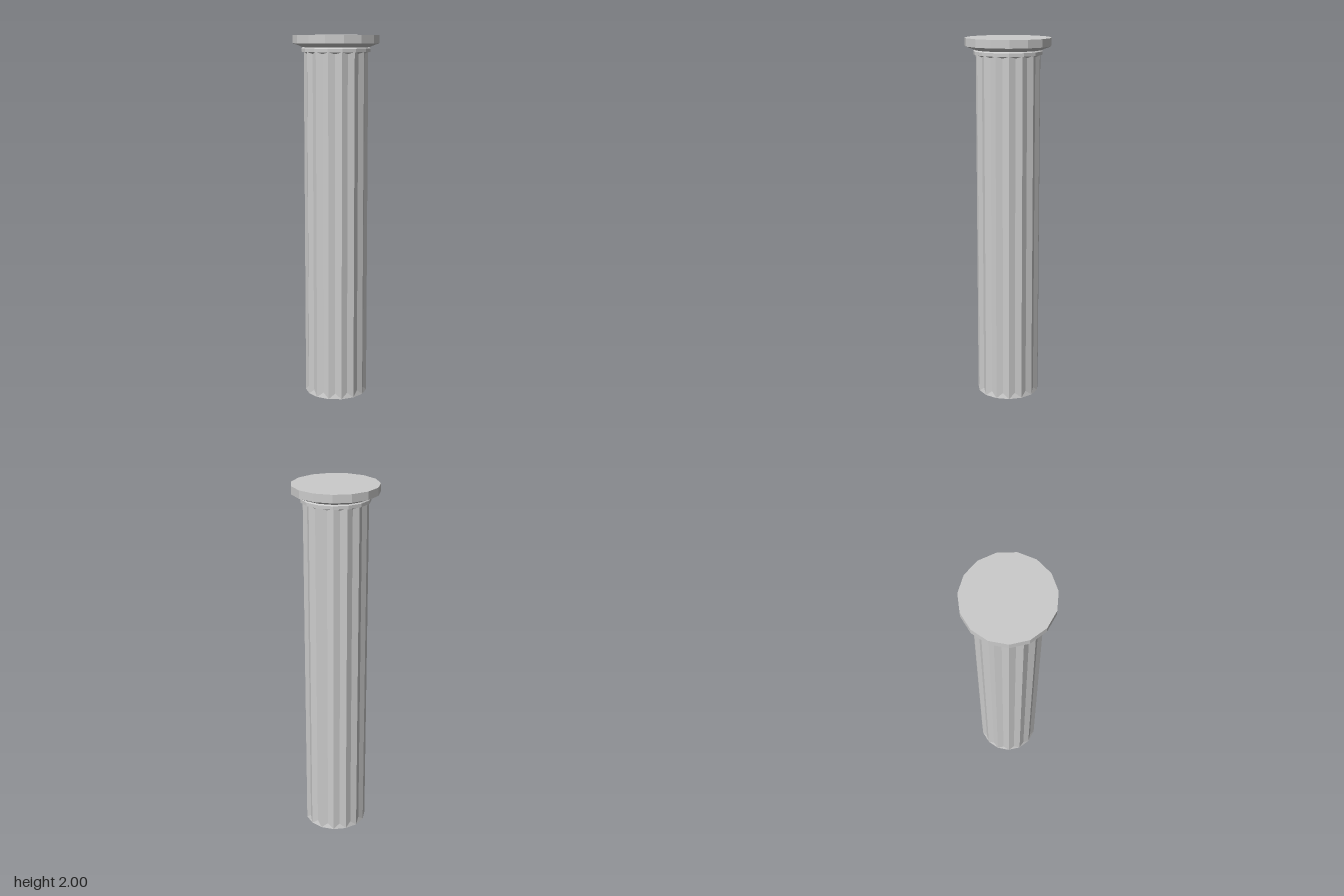
import * as THREE from 'three';

const SIDES = 15;
const material = new THREE.MeshStandardMaterial({ color: 0xcccccc, flatShading: true });

// Fluted shaft: one V-shaped groove per side, tapering out at foot and top
function shaftGeometry(radius, valleyRadius, top) {
  const positions = [];
  const step = (Math.PI * 2) / SIDES;
  const point = (angle, r, y) => [r * Math.cos(angle), y, -r * Math.sin(angle)];
  const tri = (...corners) => corners.forEach((c) => positions.push(...c));
  for (let k = 0; k < SIDES; k++) {
    const a = k * step, b = a + step, m = a + step / 2;
    const a0 = point(a, radius, 0), a1 = point(a, radius, top);
    const b0 = point(b, radius, 0), b1 = point(b, radius, top);
    const m0 = point(m, valleyRadius, 0.03), m1 = point(m, valleyRadius, top - 0.01);
    tri(a0, b0, m0); // foot of the flute
    tri(a0, m0, m1); // left wall
    tri(a0, m1, a1);
    tri(m0, b0, b1); // right wall
    tri(m0, b1, m1);
    tri(a1, m1, b1); // head of the flute
    tri([0, 0, 0], b0, a0); // underside
  }
  const geometry = new THREE.BufferGeometry();
  geometry.setAttribute('position', new THREE.Float32BufferAttribute(positions, 3));
  geometry.computeVertexNormals();
  return geometry;
}

// Faceted ring turned from a profile, with a corner on +x
function turned(profile) {
  const points = profile.map(([r, y]) => new THREE.Vector2(r, y));
  return new THREE.LatheGeometry(points, SIDES, Math.PI / 2);
}

export function createModel() {
  const column = new THREE.Group();
  column.name = 'column';
  const add = (name, geometry) => {
    const mesh = new THREE.Mesh(geometry, material);
    mesh.name = name;
    mesh.position.x = -0.0025;
    column.add(mesh);
  };

  add('flutedShaft', shaftGeometry(0.1735, 0.162, 1.912));

  // Neck ring, flared moulding and top slab
  add('neckRing', turned([[0, 1.912], [0.186, 1.912], [0.186, 1.93], [0.18, 1.936]]));
  add('flaredMoulding', turned([[0.18, 1.936], [0.195, 1.943], [0.2325, 1.957]]));
  add('topSlab', turned([[0.2325, 1.957], [0.2325, 2], [0, 2]]));

  return column;
}
